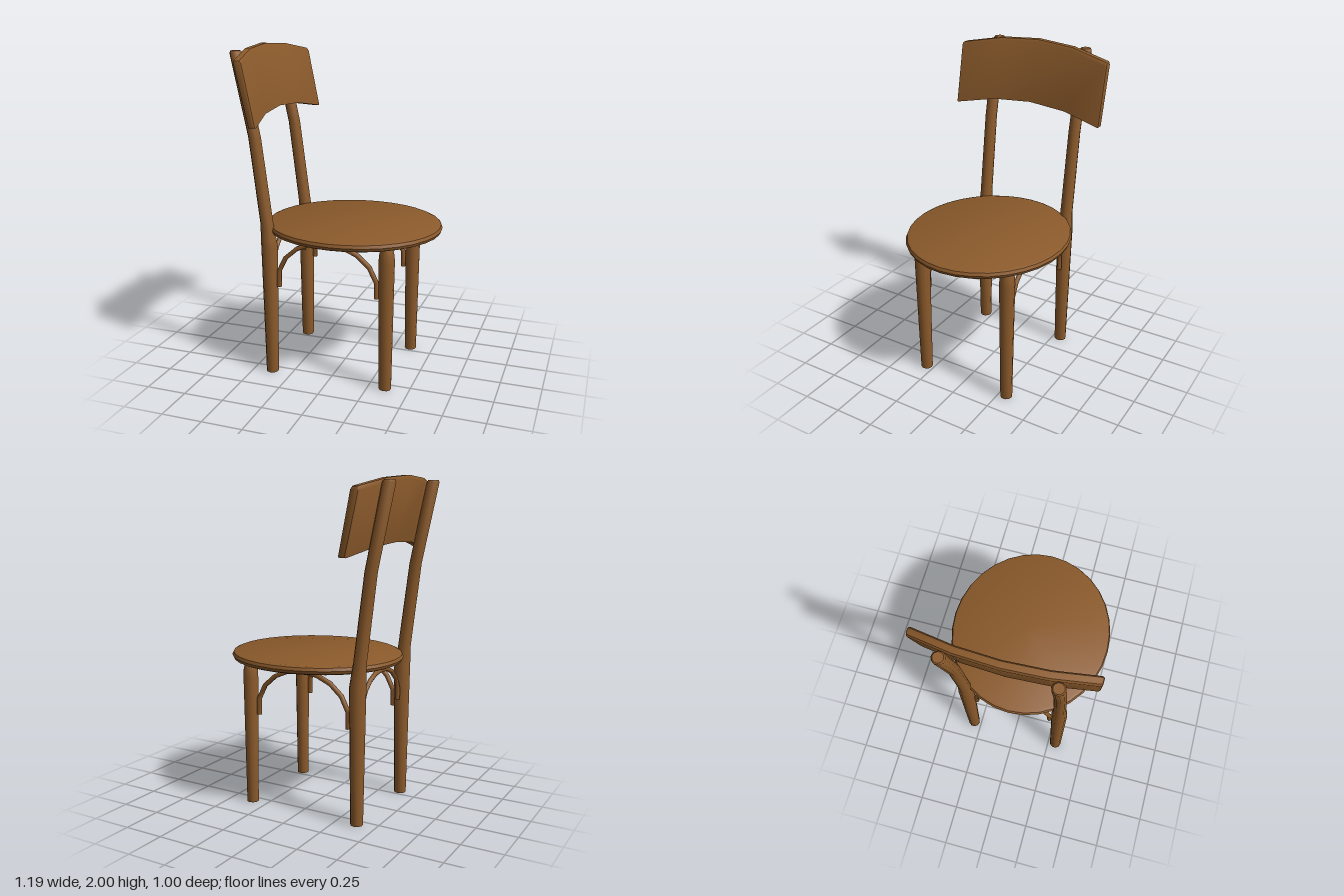
import * as THREE from 'three';
import { toCreasedNormals } from 'three/addons/utils/BufferGeometryUtils.js';

const wood = new THREE.MeshStandardMaterial({ color: 0x8b5a2b });

function add(parent, name, geometry) {
  const mesh = new THREE.Mesh(geometry, wood);
  mesh.name = name;
  parent.add(mesh);
  return mesh;
}

// Turned post: rows of [radius, height, x of the axis at that height]
function turnedPost(rows) {
  const g = new THREE.LatheGeometry(rows.map(([r, y]) => new THREE.Vector2(r, y)), 10);
  const p = g.attributes.position;
  for (let i = 0; i < p.count; i++) p.setX(i, p.getX(i) + rows[i % rows.length][2]);
  return toCreasedNormals(g, 0.9);
}

// Bent rod forming an arch in the xy plane
function archRod(halfSpan, foot, top) {
  const points = [];
  for (let i = 0; i <= 8; i++) {
    const a = Math.PI * (1.06 - 1.12 * i / 8);
    points.push(new THREE.Vector3(halfSpan * Math.cos(a) / Math.cos(0.19), 0, 0));
    const s = (Math.sin(a) + Math.sin(0.06 * Math.PI)) / (1 + Math.sin(0.06 * Math.PI));
    points[i].y = foot + (top - foot) * s;
  }
  const g = new THREE.TubeGeometry(new THREE.CatmullRomCurve3(points), 10, 0.015, 6);
  return g;
}

export function createModel() {
  const chair = new THREE.Group();
  chair.name = 'chair';

  // Oval seat with a rounded rim
  const rim = [[0, 0.895], [0.515, 0.895], [0.532, 0.902], [0.54, 0.92], [0.532, 0.938], [0.515, 0.945], [0, 0.945]];
  const seat = new THREE.LatheGeometry(rim.map(([r, y]) => new THREE.Vector2(r, y)), 32);
  seat.scale(1, 1, 0.495 / 0.54);
  seat.translate(0.06, 0, 0);
  add(chair, 'seat', toCreasedNormals(seat, 0.75));

  // Legs, the rear pair running up to carry the backrest
  const frontX = 0.355;
  const front = turnedPost([
    [0, 0, frontX], [0.037, 0, frontX], [0.047, 0.8, frontX], [0.045, 0.84, frontX],
    [0.036, 0.885, frontX], [0.03, 0.9, frontX], [0, 0.9, frontX]]);
  const rear = turnedPost([
    [0, 0, -0.38], [0.038, 0, -0.38], [0.05, 0.82, -0.38], [0.047, 0.86, -0.384],
    [0.039, 0.96, -0.393], [0.037, 1.48, -0.457], [0.038, 1.96, -0.557], [0.03, 1.975, -0.56], [0, 1.975, -0.56]]);
  for (const [side, z] of [['left', 0.3], ['right', -0.3]]) {
    add(chair, side + 'FrontLeg', front).position.z = z;
    add(chair, side + 'RearPost', rear).position.z = z;
    add(chair, side + 'SideArch', archRod(0.308, 0.57, 0.875)).position.set(-0.013, 0, z);
  }

  // Arch between the rear posts
  const rearArch = add(chair, 'rearArch', archRod(0.24, 0.63, 0.868));
  rearArch.rotation.y = Math.PI / 2;
  rearArch.position.x = -0.38;

  // Leaning backrest, bowed towards the sitter at both ends
  const b = 0.012;
  const section = new THREE.Shape([
    [-0.46, 1.638], [-0.437, 1.638], [-0.507, 1.98], [-0.513, 1.988], [-0.534, 1.988], [-0.537, 1.98],
  ].map(([x, y]) => new THREE.Vector2(x, y)));
  const rest = new THREE.ExtrudeGeometry(section, {
    depth: 1 - 2 * b, steps: 4, bevelSize: b, bevelThickness: b, bevelSegments: 2,
  });
  rest.translate(0, 0, b - 0.5);
  const p = rest.attributes.position;
  for (let i = 0; i < p.count; i++) {
    const t = (p.getZ(i) / 0.5) ** 2;
    p.setX(i, p.getX(i) + 0.07 * t);
    p.setY(i, p.getY(i) - 0.063 * t);
  }
  add(chair, 'backrest', toCreasedNormals(rest, 0.6));

  return chair;
}
